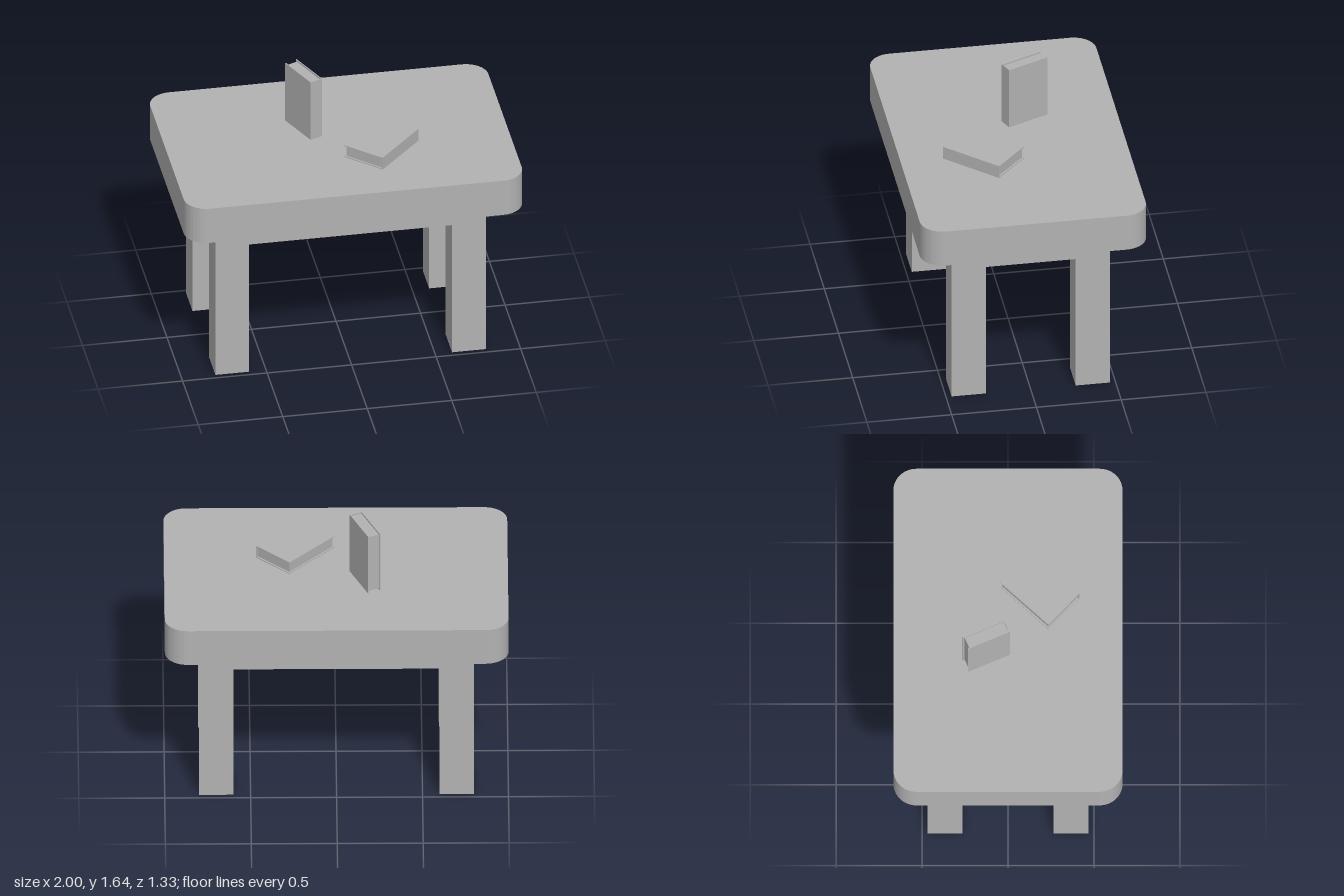
import * as THREE from 'three';

const grey = new THREE.MeshStandardMaterial({ color: 0xb2b2b2 });
grey.name = 'plain grey';

// Rectangle outline centred on the origin, with optional rounded corners
function outline(target, w, d, r = 0) {
  const x = w / 2, y = d / 2;
  if (r === 0) {
    return target.moveTo(-x, -y).lineTo(x, -y).lineTo(x, y).lineTo(-x, y).closePath();
  }
  target.absarc(x - r, y - r, r, 0, Math.PI / 2);
  target.absarc(-x + r, y - r, r, Math.PI / 2, Math.PI);
  target.absarc(-x + r, -y + r, r, Math.PI, Math.PI * 1.5);
  target.absarc(x - r, -y + r, r, Math.PI * 1.5, Math.PI * 2);
  return target.closePath();
}

// Horizontal slab rising from y0 to y1
function slab(name, shape, y0, y1) {
  const geometry = new THREE.ExtrudeGeometry(shape, { depth: y1 - y0, bevelEnabled: false, curveSegments: 5 });
  geometry.rotateX(-Math.PI / 2).translate(0, y0, 0);
  const mesh = new THREE.Mesh(geometry, grey);
  mesh.name = name;
  return mesh;
}

function box(name, w, h, d, x, y, z) {
  const mesh = new THREE.Mesh(new THREE.BoxGeometry(w, h, d), grey);
  mesh.position.set(x, y, z);
  mesh.name = name;
  return mesh;
}

// Upright book, centred, with its spine towards +z
function book(name) {
  const g = new THREE.Group();
  g.name = name;
  const t = 0.08, h = 0.39, d = 0.265, board = 0.006, inset = 0.01;
  for (const s of [-1, 1]) {
    g.add(box('cover', board, h, d, s * (t - board) / 2, 0, 0));
  }
  g.add(box('spine', t - 2 * board, h, board, 0, 0, (d - board) / 2));
  g.add(box('pages', t - 2 * board, h - 2 * inset, d - board - inset, 0, 0, (inset - board) / 2));
  return g;
}

export function createModel() {
  const model = new THREE.Group();
  model.name = 'table with books';

  const topY = 1.255, topBottom = 1.023, apronBottom = 0.864;
  model.add(slab('tableTop', outline(new THREE.Shape(), 2, 1.333, 0.133), topBottom, topY));

  // Frame under the top, as thick as the legs
  const frame = outline(new THREE.Shape(), 1.6, 0.934);
  frame.holes.push(outline(new THREE.Path(), 1.2, 0.53));
  model.add(slab('apron', frame, apronBottom, topBottom));

  // Four legs flush with the frame corners
  for (const sx of [-1, 1]) {
    for (const sz of [-1, 1]) {
      model.add(box('leg', 0.2, apronBottom, 0.202, sx * 0.7, apronBottom / 2, sz * 0.366));
    }
  }

  const standing = book('standingBook');
  standing.position.set(-0.168, topY + 0.195, -0.126);
  standing.rotation.y = 0.41;
  model.add(standing);

  const lying = book('lyingBook');
  lying.position.set(0.235, topY + 0.04, 0.183);
  lying.rotation.set(0, 0.82, Math.PI / 2, 'YXZ');
  model.add(lying);

  return model;
}
